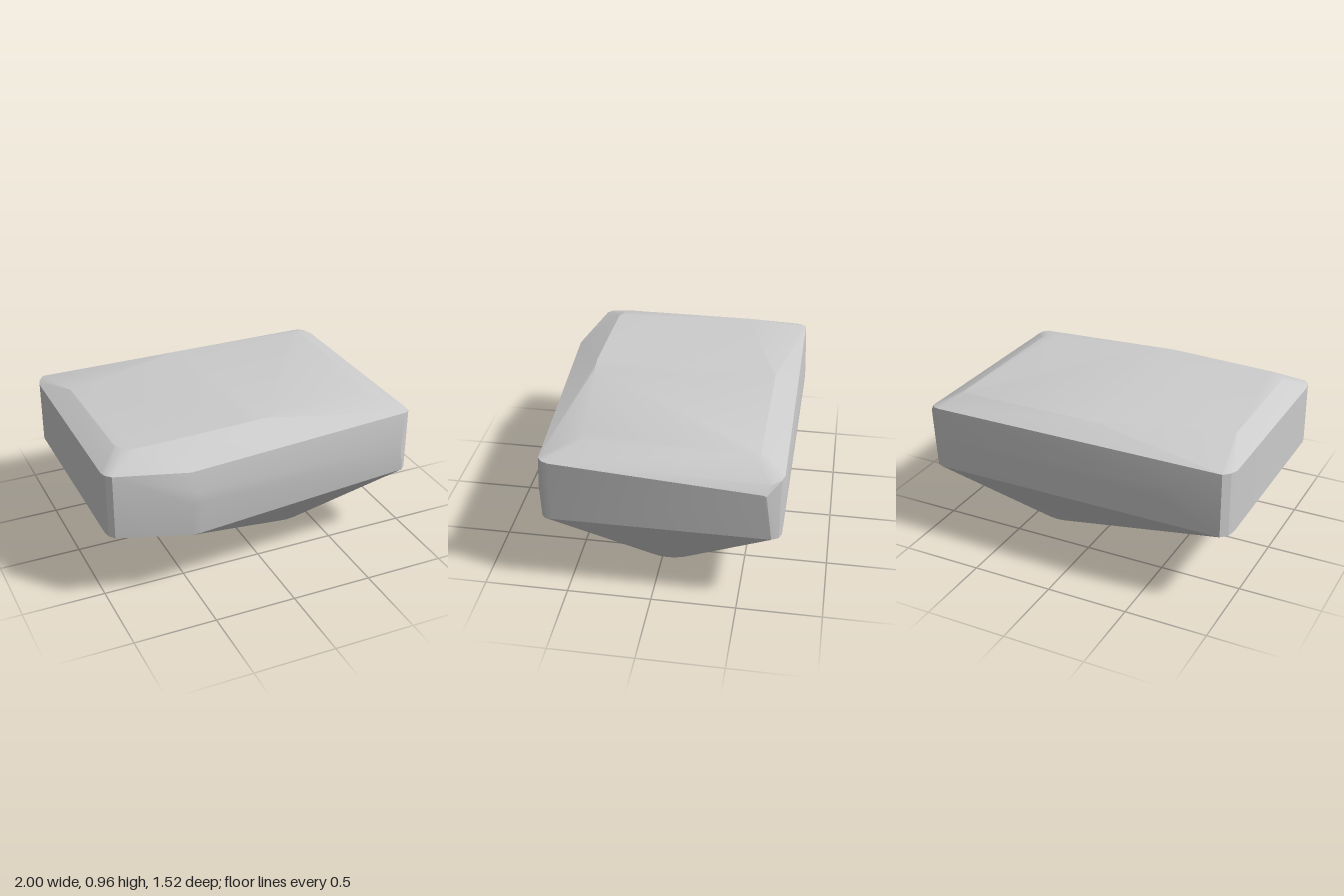
import * as THREE from 'three';
import { ConvexGeometry } from 'three/addons/geometries/ConvexGeometry.js';
import { toCreasedNormals } from 'three/addons/utils/BufferGeometryUtils.js';

export function createModel() {
  const group = new THREE.Group();
  const points = [];
  const add = (x, y, z) => points.push(new THREE.Vector3(x, y, z));

  // Flat round foot
  for (let i = 0; i < 32; i++) {
    const a = (i / 32) * Math.PI * 2;
    add(0.34 + 0.255 * Math.cos(a), 0, -0.035 + 0.255 * Math.sin(a));
  }

  // Rounded vertical corners: [x, z, bottom y, top y]
  const corners = [
    [-1, 0.56, 0.475, 0.86], [-0.99, 0.61, 0.47, 0.865], [-0.96, 0.64, 0.465, 0.865],
    [-1, -0.64, 0.475, 0.86], [-0.985, -0.69, 0.47, 0.865], [-0.95, -0.735, 0.475, 0.87],
    [0.95, 0.58, 0.48, 0.86], [0.94, 0.62, 0.475, 0.865], [0.91, 0.645, 0.47, 0.868],
    [0.88, -0.735, 0.475, 0.87], [0.92, -0.72, 0.475, 0.865],
  ];
  for (const [x, z, low, high] of corners) {
    add(x, low, z);
    add(x, high, z);
  }

  // Back corner that flares outward towards the top
  add(0.95, 0.48, -0.68);
  add(1, 0.81, -0.63);
  add(0.995, 0.8, -0.645);
  add(0.955, 0.855, -0.67);

  // Bulge on the front face
  add(-0.53, 0.43, 0.735);
  add(-0.48, 0.43, 0.735);
  add(-0.53, 0.64, 0.76);
  add(-0.46, 0.65, 0.76);
  add(-0.5, 0.72, 0.76);
  add(-0.53, 0.843, 0.735);
  add(0.82, 0.65, 0.672);
  add(0.88, 0.66, 0.664);

  // Bulge on the back face
  add(-0.6, 0.65, -0.76);
  add(-0.62, 0.73, -0.76);
  add(0.85, 0.68, -0.743);

  // Bevelled, slightly crowned top
  add(-0.87, 0.935, 0.43);
  add(-0.84, 0.937, 0.49);
  add(-0.77, 0.94, 0.52);
  add(-0.1, 0.96, 0.525);
  add(0.02, 0.96, 0.515);
  add(0.72, 0.94, 0.43);
  add(0.78, 0.938, 0.42);
  add(0.8, 0.936, 0.38);
  add(0.8, 0.935, -0.56);
  add(0.77, 0.935, -0.59);
  add(-0.1, 0.938, -0.595);
  add(-0.88, 0.93, -0.35);

  const geometry = toCreasedNormals(new ConvexGeometry(points), 0.35);
  const stone = new THREE.Mesh(geometry, new THREE.MeshStandardMaterial({ color: 0xcccccc }));
  stone.name = 'taperedStone';
  group.add(stone);
  return group;
}
